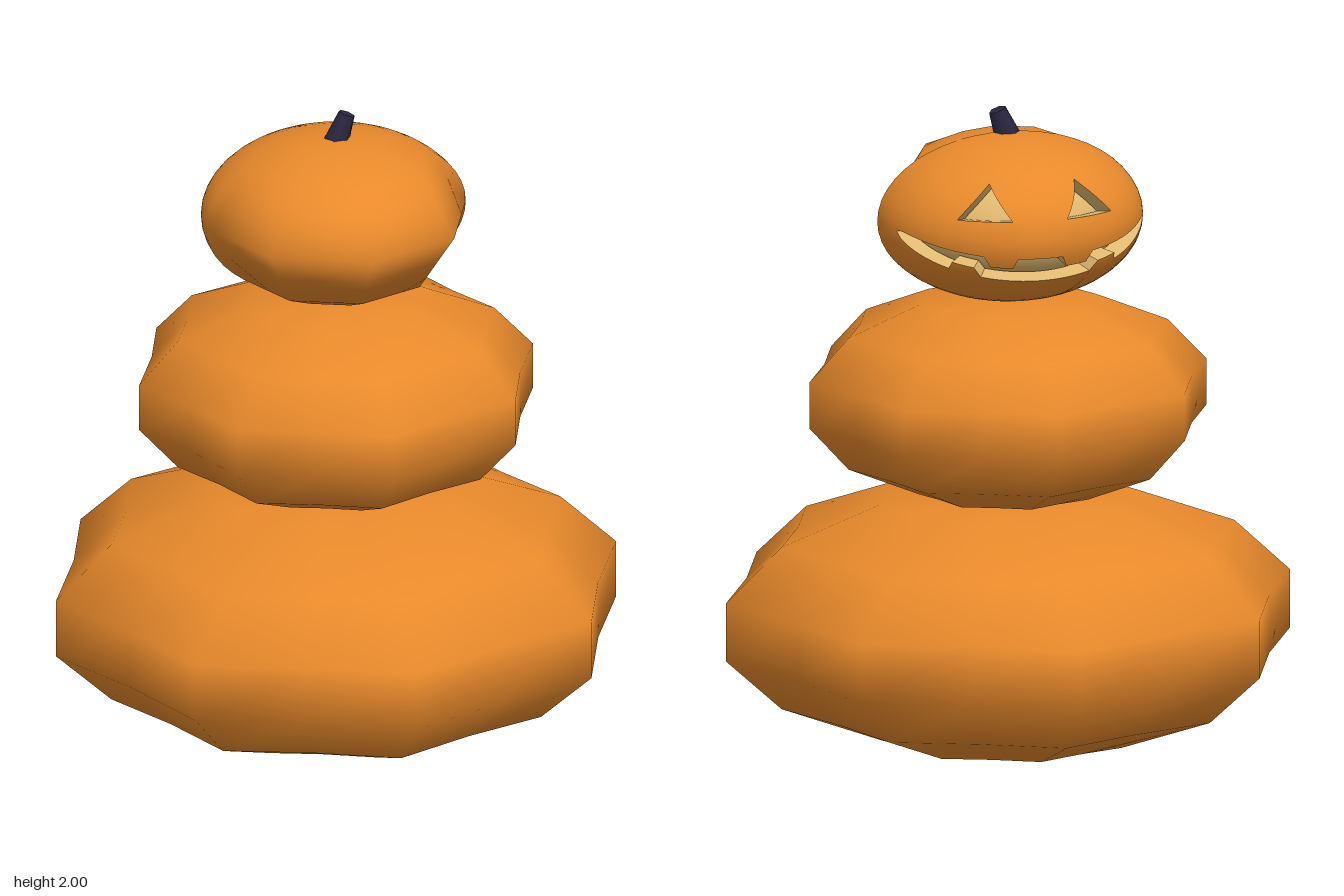
import * as THREE from 'three';

const RAD = Math.PI / 180;
const orange = new THREE.MeshStandardMaterial({ color: 0xe8892b });
const cream = new THREE.MeshStandardMaterial({ color: 0xe0b870, side: THREE.DoubleSide });
const dark = new THREE.MeshStandardMaterial({ color: 0x2a2640 });

function named(name, geometry, material) {
  const mesh = new THREE.Mesh(geometry, material);
  mesh.name = name;
  return mesh;
}

// Ribbed body: profile of [radius, y] rings from bottom to top, closed by two poles
function ribbedPumpkin(profile, bottom, top) {
  const n = 16, pos = [], index = [];
  for (const [r, y] of profile) {
    for (let i = 0; i < n; i++) {
      const a = i / n * Math.PI * 2, k = i % 2 ? r * 0.905 : r;
      pos.push(k * Math.sin(a), y, k * Math.cos(a));
    }
  }
  const last = profile.length - 1, low = pos.length / 3, high = low + 1;
  pos.push(0, bottom, 0, 0, top, 0);
  for (let i = 0; i < n; i++) {
    const j = (i + 1) % n;
    index.push(low, j, i, high, last * n + i, last * n + j);
    for (let k = 0; k < last; k++) {
      const a = k * n + i, b = k * n + j;
      index.push(a, b, b + n, a, b + n, a + n);
    }
  }
  const g = new THREE.BufferGeometry();
  g.setAttribute('position', new THREE.Float32BufferAttribute(pos, 3));
  g.setIndex(index);
  g.computeVertexNormals();
  return g;
}

// Head: round on the carved side (-z), broad facets on the other side
const A = 0.41, B = 0.257, CY = 1.665;
const KNOTS = [-90, -67.5, -45, 0, 45, 67.5, 90];

function section(lat, coarse) {
  const at = (l) => [A * Math.cos(l * RAD), B * Math.sin(l * RAD)];
  if (!coarse) return at(lat);
  let k = 0;
  while (k < KNOTS.length - 2 && lat > KNOTS[k + 1]) k++;
  const t = (lat - KNOTS[k]) / (KNOTS[k + 1] - KNOTS[k]);
  const p = at(KNOTS[k]), q = at(KNOTS[k + 1]);
  return [p[0] + (q[0] - p[0]) * t, p[1] + (q[1] - p[1]) * t];
}

// az in degrees, 0 = +z, 90 = +x
function headPoint(az, lat, scale = 1) {
  const coarse = az < 90 || az > 270;
  let [r, y] = section(lat, coarse);
  if (coarse) {
    const d = ((az % 45) + 45) % 45 - 22.5;
    r *= Math.cos(22.5 * RAD) / Math.cos(d * RAD);
  }
  return new THREE.Vector3(r * Math.sin(az * RAD), y, r * Math.cos(az * RAD)).multiplyScalar(scale);
}

// Limits of the carved openings at an azimuth: [mouth low, mouth high, eye low, eye high]
function openings(az) {
  const u = az - 180, w = Math.abs(u), s = w / 70;
  let low = 0, high = 0;
  if (s < 1) {
    const mid = -20 * (1 - s * s), half = 10 * Math.sqrt(1 - s * s);
    const upperTooth = w > 12.4 && w < 22.6, lowerTooth = w > 29.9 && w < 40.1;
    low = mid - half * (lowerTooth ? 0.2 : 1);
    high = mid + half * (upperTooth ? 0.1 : 0.9);
  }
  const eye = Math.max(0, 1 - Math.abs(w - 25) / 12.5);
  return [low, high, 15, 15 + 25 * eye];
}

function headGeometries() {
  const skin = [], normals = [], walls = [];
  const put = (p) => {
    skin.push(p.x, p.y, p.z);
    const n = new THREE.Vector3(p.x / (A * A), p.y / (B * B), p.z / (A * A)).normalize();
    normals.push(n.x, n.y, n.z);
  };
  const step = 2.5;
  for (let az = 0; az < 360; az += step) {
    const a1 = az + step, L = openings(az), R = openings(a1);
    // Solid bands below the mouth, between mouth and eyes, and above the eyes
    const bands = [[-90, L[0], -90, R[0], 12], [L[1], L[2], R[1], R[2], 2], [L[3], 90, R[3], 90, 10]];
    for (const [l0, l1, r0, r1, rows] of bands) {
      for (let k = 0; k < rows; k++) {
        const t = k / rows, v = (k + 1) / rows;
        const a = headPoint(az, l0 + (l1 - l0) * t), b = headPoint(a1, r0 + (r1 - r0) * t);
        const c = headPoint(a1, r0 + (r1 - r0) * v), d = headPoint(az, l0 + (l1 - l0) * v);
        [a, b, c, a, c, d].forEach(put);
      }
    }
    // Cut walls of the openings
    for (const h of [0, 2]) {
      if (L[h + 1] - L[h] < 0.01 && R[h + 1] - R[h] < 0.01) continue;
      for (const e of [h, h + 1]) {
        const a = headPoint(az, L[e]), b = headPoint(a1, R[e]);
        const c = headPoint(a1, R[e], 0.86), d = headPoint(az, L[e], 0.86);
        for (const p of [a, b, c, a, c, d]) walls.push(p.x, p.y, p.z);
      }
    }
  }
  const shell = new THREE.BufferGeometry();
  shell.setAttribute('position', new THREE.Float32BufferAttribute(skin, 3));
  shell.setAttribute('normal', new THREE.Float32BufferAttribute(normals, 3));
  const rim = new THREE.BufferGeometry();
  rim.setAttribute('position', new THREE.Float32BufferAttribute(walls, 3));
  rim.computeVertexNormals();
  return { shell, rim };
}

export function createModel() {
  const model = new THREE.Group();
  model.name = 'stackedPumpkins';

  // Two uncarved pumpkins
  model.add(named('lowerPumpkin', ribbedPumpkin(
    [[0.4, 0.045], [0.71, 0.16], [0.885, 0.32], [0.885, 0.5], [0.71, 0.665], [0.4, 0.78]], 0, 0.8), orange));
  model.add(named('middlePumpkin', ribbedPumpkin(
    [[0.28, 0.805], [0.5, 0.895], [0.622, 1.03], [0.622, 1.175], [0.5, 1.305], [0.28, 1.395]], 0.785, 1.415), orange));

  // Carved pumpkin on top, its face towards -z
  const head = new THREE.Group();
  head.name = 'carvedPumpkin';
  head.position.y = CY;
  const { shell, rim } = headGeometries();
  const core = named('innerFlesh', new THREE.SphereGeometry(1, 32, 20), cream);
  core.scale.set(A * 0.84, B * 0.84, A * 0.84);
  head.add(named('headShell', shell, orange), named('carvedEdges', rim, cream), core);
  model.add(head);

  // Leaning stem
  const stem = named('stem', new THREE.CylinderGeometry(0.027, 0.042, 0.1, 6), dark);
  stem.geometry.rotateY(Math.PI / 6);
  stem.position.set(0.016, 1.944, 0);
  stem.rotation.z = -0.36;
  model.add(stem);
  return model;
}
